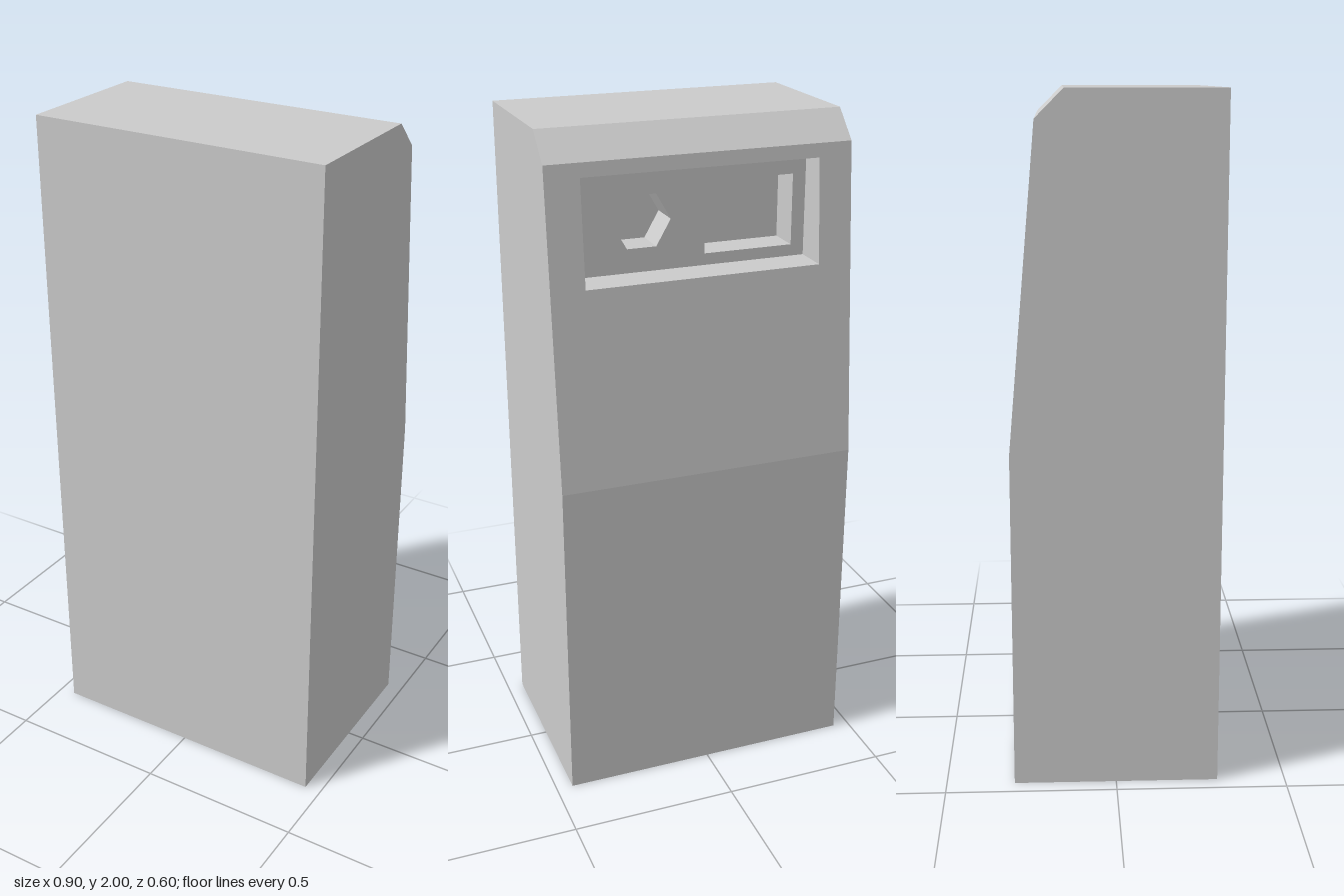
import * as THREE from 'three';

const HALF_W = 0.45;
// side profile as [z, y]; segment 2 is the sloped rear panel
const PROFILE = [[0.3, 0], [-0.3, 0], [-0.3, 1], [-0.22, 1.92], [-0.14, 2], [0.3, 2]];
const slopeZ = (y) => -0.3 + (0.08 / 0.92) * (y - 1);
const RECESS_Z = -0.14;
const POCKET_Z = -0.04;

// counter-clockwise outlines in the x-y plane
const rect = (x0, x1, y0, y1) => [[x0, y0], [x1, y0], [x1, y1], [x0, y1]];
const hexagon = (cx, cy, r) => Array.from({ length: 6 }, (_, i) => {
  const a = (i * Math.PI) / 3;
  return [cx + r * Math.cos(a), cy + r * Math.sin(a)];
});
const toPoints = (outline) => outline.map(([x, y]) => new THREE.Vector2(x, y));

// flat-sided strip between two matching rings of points
function loft(a, b, skip = -1) {
  const positions = [];
  a.forEach((p, i) => {
    if (i === skip) return;
    const j = (i + 1) % a.length;
    positions.push(...p, ...a[j], ...b[j], ...p, ...b[j], ...b[i]);
  });
  const geometry = new THREE.BufferGeometry();
  geometry.setAttribute('position', new THREE.Float32BufferAttribute(positions, 3));
  geometry.computeVertexNormals();
  return geometry;
}

// rear-facing sheet with holes, placed at depth zAt(y)
function rearSheet(outline, holes, zAt) {
  const shape = new THREE.Shape(toPoints(outline));
  holes.forEach((hole) => shape.holes.push(new THREE.Path(toPoints(hole))));
  const geometry = new THREE.ShapeGeometry(shape);
  geometry.index.array.reverse();
  const pos = geometry.attributes.position;
  for (let i = 0; i < pos.count; i++) pos.setZ(i, zAt(pos.getY(i)));
  geometry.computeVertexNormals();
  return geometry;
}

// inward-facing walls of a pocket cut from nearZ(y) to farZ
function pocketWalls(outline, nearZ, farZ) {
  const far = outline.map(([x, y]) => [x, y, farZ]);
  const near = outline.map(([x, y]) => [x, y, nearZ(y)]);
  return loft(far, near);
}

export function createModel() {
  const model = new THREE.Group();
  model.name = 'cabinet';
  const material = new THREE.MeshStandardMaterial({ color: 0xcccccc, flatShading: true });
  const add = (name, geometry) => {
    const mesh = new THREE.Mesh(geometry, material);
    mesh.name = name;
    model.add(mesh);
  };

  // outer shell: front, bottom, lower back, bevel and top
  const ring = (x) => PROFILE.map(([z, y]) => [x, y, z]);
  add('shell', loft(ring(-HALF_W), ring(HALF_W), 2));

  // side panels
  for (const [name, s] of [['leftSide', 1], ['rightSide', -1]]) {
    const side = new THREE.Shape(toPoints(PROFILE.map(([z, y]) => [-s * z, y])));
    add(name, new THREE.ShapeGeometry(side).rotateY((s * Math.PI) / 2).translate(s * HALF_W, 0, 0));
  }

  // sloped rear panel with its recess
  const recess = rect(-0.35, 0.35, 1.578, 1.88);
  const hexSocket = hexagon(0.15, 1.723, 0.087);
  const squareSocket = rect(-0.31, -0.04, 1.612, 1.82);
  const recessDepth = () => RECESS_Z;
  add('slopedRearPanel', rearSheet(rect(-HALF_W, HALF_W, 1, 1.92), [recess], slopeZ));
  add('recessWalls', pocketWalls(recess, slopeZ, RECESS_Z));
  add('recessFloor', rearSheet(recess, [hexSocket, squareSocket], recessDepth));

  // sockets sunk into the recess floor
  for (const [name, outline] of [['hexSocket', hexSocket], ['squareSocket', squareSocket]]) {
    add(name + 'Walls', pocketWalls(outline, recessDepth, POCKET_Z));
    add(name + 'Floor', rearSheet(outline, [], () => POCKET_Z));
  }
  return model;
}
